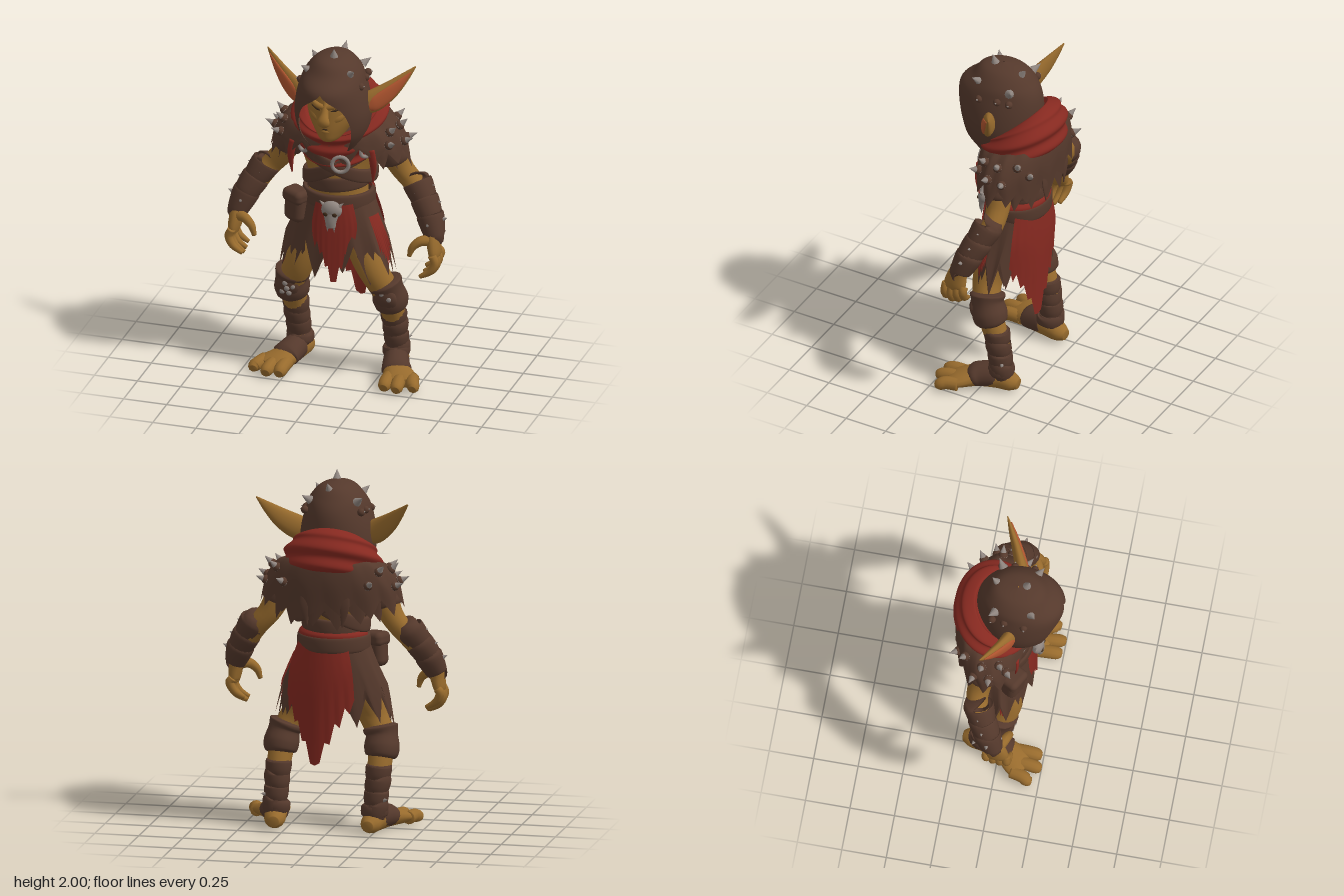
import * as THREE from 'three';
import { mergeVertices } from 'three/addons/utils/BufferGeometryUtils.js';
import { RoundedBoxGeometry } from 'three/addons/geometries/RoundedBoxGeometry.js';

const paint = (name, color, side = THREE.FrontSide) => {
  const m = new THREE.MeshStandardMaterial({ color, side });
  m.name = name;
  return m;
};

export function createModel() {
  const model = new THREE.Group();
  model.name = 'hoodedGoblin';
  const skin = paint('ochre skin', 0x986b2d);
  const leather = paint('brown leather', 0x55392c, THREE.DoubleSide);
  const cloth = paint('red cloth', 0x862920, THREE.DoubleSide);
  const bone = paint('grey bone and metal', 0x8f857f);
  const earInner = paint('orange inner ear', 0xb0552f);
  const dark = paint('dark recess', 0x3d2a1a);

  const add = (name, geo, mat) => {
    const mesh = new THREE.Mesh(geo, mat);
    mesh.name = name;
    model.add(mesh);
    return mesh;
  };
  const clamp = THREE.MathUtils.clamp;

  // Smooth interpolation of rows of numbers, t from 0 to 1
  const spline = (rows, t) => {
    const n = rows.length - 1, k = Math.min(Math.floor(t * n), n - 1), f = t * n - k;
    const at = (i) => rows[clamp(i, 0, n)];
    return rows[0].map((_, c) => {
      const p = at(k - 1)[c], a = at(k)[c], b = at(k + 1)[c], q = at(k + 2)[c];
      return a + 0.5 * f * (b - p + f * (2 * p - 5 * a + 4 * b - q + f * (3 * (a - b) + q - p)));
    });
  };

  // Surface from a grid of points
  const grid = (nu, nv, point) => {
    const pos = [], index = [];
    for (let i = 0; i <= nv; i++) for (let j = 0; j <= nu; j++) pos.push(...point(j / nu, i, i / nv));
    for (let i = 0; i < nv; i++) for (let j = 0; j < nu; j++) {
      const a = i * (nu + 1) + j, b = a + nu + 1;
      index.push(a, b, b + 1, a, b + 1, a + 1);
    }
    let g = new THREE.BufferGeometry();
    g.setAttribute('position', new THREE.Float32BufferAttribute(pos, 3));
    g.setIndex(index);
    g = mergeVertices(g, 1e-5);
    g.computeVertexNormals();
    return g;
  };

  // Capped tube through rows [x, y, z, radiusAlongRef, otherRadius]
  const X = new THREE.Vector3(1, 0, 0), Y = new THREE.Vector3(0, 1, 0), Z = new THREE.Vector3(0, 0, 1);
  const loft = (rows, ref = X, sides = 16) => {
    rows = rows.map((r) => (r.length < 5 ? [...r, r[3]] : r));
    const n = (rows.length - 1) * 5;
    return grid(sides, n + 2, (u, i) => {
      const t = clamp(i - 1, 0, n) / n, s = spline(rows, t), c = new THREE.Vector3(...s);
      const tan = new THREE.Vector3(...spline(rows, Math.min(t + 0.01, 1)))
        .sub(new THREE.Vector3(...spline(rows, Math.max(t - 0.01, 0)))).normalize();
      const a = ref.clone().addScaledVector(tan, -ref.dot(tan)).normalize();
      const b = tan.clone().cross(a), w = -u * Math.PI * 2, r = i === 0 || i === n + 2 ? 0 : 1;
      return c.addScaledVector(a, s[3] * r * Math.cos(w)).addScaledVector(b, s[4] * r * Math.sin(w)).toArray();
    });
  };

  // Draped shell through rings [y, z, radiusX, radiusZ, backTilt, frontGap, sideTilt]
  const shellPoint = (rows, a, t, s = spline(rows, t)) =>
    [s[2] * Math.sin(a), s[0] - s[4] * Math.cos(a) + s[6] * Math.sin(a), s[1] + s[3] * Math.cos(a)];
  const fill = (rows) => rows.map((r) => [...r, 0, 0, 0, 0].slice(0, 7));
  const shell = (rows, { from, to, hem = () => 0, flare = 0.7, fold = 0, nu = 96 } = {}) => {
    rows = fill(rows);
    return grid(nu, (rows.length - 1) * (fold ? 12 : 6), (u, i, t) => {
      const s = spline(rows, t);
      const g = Math.max(0, s[5]), lo = from ?? g, hi = to ?? Math.PI * 2 - g, a = lo + (hi - lo) * u;
      const k = 1 + fold * Math.sin(30 * t + 1.5 * Math.cos(a) + 1.2 * Math.sin(a));
      s[2] *= k; s[3] *= k;
      const p = shellPoint(rows, a, t, s), drop = hem(u) * t * t;
      return [p[0] * (1 + flare * drop), p[1] - drop, p[2]];
    });
  };
  const hash = (i) => { const v = Math.sin(i * 12.99 + 4.1) * 437.58; return v - Math.floor(v); };
  const teeth = (n, amp, seed = 0) => (u) => {
    const k = u * n, i = Math.floor(k);
    return amp * (0.4 + 0.6 * hash((i % n) + seed)) * (1 - Math.abs(2 * (k - i) - 1));
  };
  const point = (amp, rag) => (u) => amp * (1 - Math.abs(2 * u - 1)) ** 1.5 + teeth(8, rag, 3)(u);

  // Cone spike at a position, pointing away from a centre
  const spike = (name, p, centre, r = 0.026, h = 0.06) => {
    const base = new THREE.Vector3(...p), dir = base.clone().sub(new THREE.Vector3(...centre)).normalize();
    const m = add(name, new THREE.ConeGeometry(r, h, 10), bone);
    m.quaternion.setFromUnitVectors(Y, dir);
    m.position.copy(base).addScaledVector(dir, h / 2 - 0.004);
  };
  const ball = (name, p, scale, mat) => {
    const m = add(name, new THREE.SphereGeometry(1, 20, 14), mat);
    m.position.set(...p);
    m.scale.set(...scale);
    return m;
  };

  // Torso, neck and head
  add('torso', shell([[1.58, -0.06, 0.08, 0.08], [1.52, -0.07, 0.2, 0.15], [1.4, -0.07, 0.25, 0.18], [1.28, -0.05, 0.205, 0.165],
    [1.17, -0.03, 0.165, 0.145], [1.05, -0.03, 0.17, 0.14], [0.88, -0.03, 0.18, 0.13], [0.82, -0.03, 0.01, 0.01]]), skin);
  add('neck', loft([[0, 1.4, -0.02, 0.1], [0, 1.6, 0.06, 0.09]]), skin);
  add('head', shell([[1.86, 0.05, 0.005, 0.005], [1.81, 0.06, 0.11, 0.12], [1.7, 0.07, 0.145, 0.14], [1.6, 0.075, 0.135, 0.145],
    [1.52, 0.085, 0.096, 0.135], [1.465, 0.1, 0.055, 0.1], [1.445, 0.11, 0.005, 0.005]]), skin);
  add('nose', loft([[0, 1.71, 0.19, 0.018], [0, 1.65, 0.228, 0.021], [0, 1.605, 0.252, 0.036, 0.024], [0, 1.58, 0.235, 0.026, 0.015]]), skin);
  add('mouth', loft([[-0.04, 1.541, 0.199, 0.004], [0, 1.55, 0.221, 0.005], [0.04, 1.541, 0.199, 0.004]], Y, 8), dark);
  add('lowerLip', loft([[-0.04, 1.528, 0.198, 0.007], [0, 1.534, 0.216, 0.011], [0.04, 1.528, 0.198, 0.007]], Y, 8), skin);

  // Hood with open face
  add('hood', shell([[1.955, 0.06, 0.004, 0.004], [1.93, 0.06, 0.09, 0.12], [1.865, 0.06, 0.152, 0.182], [1.795, 0.078, 0.18, 0.236],
    [1.7, 0.075, 0.203, 0.245, 0, 0.56], [1.6, 0.07, 0.212, 0.235, 0, 0.77], [1.5, 0.06, 0.194, 0.215, 0, 0.84], [1.4, 0.05, 0.145, 0.14, 0, 0.8]]), leather);
  const crown = [0, 1.75, 0.05];
  spike('hoodSpike', [0.015, 1.944, 0.105], crown);
  spike('hoodSpike', [0.02, 1.915, -0.06], crown);

  // Scarf and shoulder mantle
  add('scarf', shell([[1.575, -0.02, 0.16, 0.12, 0.095], [1.605, -0.025, 0.205, 0.165, 0.125], [1.575, -0.055, 0.256, 0.21, 0.115],
    [1.495, -0.07, 0.275, 0.22, 0.105], [1.405, -0.07, 0.24, 0.218, 0.1], [1.36, -0.06, 0.2, 0.19, 0.09]], { fold: 0.042 }), cloth);
  const mantle = fill([[1.55, -0.07, 0.19, 0.15, 0.04], [1.52, -0.07, 0.3, 0.2, 0.04], [1.44, -0.07, 0.368, 0.213, 0.02],
    [1.37, -0.065, 0.383, 0.208, -0.04]]);
  add('mantle', shell(mantle, { hem: teeth(14, 0.12), nu: 112 }), leather);
  add('mantleUnderlayer', shell([[1.48, -0.07, 0.3, 0.19], [1.4, -0.07, 0.345, 0.195, 0], [1.33, -0.065, 0.33, 0.195, -0.05]],
    { hem: teeth(12, 0.12, 5), from: 0.75, to: 5.53, nu: 96 }), leather);

  // Crossed chest straps, midriff wrap, sash and belt
  const band = (name, y, rx, rz, w, side, cz = -0.035) => add(name, shell([[y + w, cz, rx - 0.02, rz - 0.02, 0, 0, side],
    [y + w * 0.8, cz, rx, rz, 0, 0, side], [y - w * 0.8, cz, rx, rz, 0, 0, side], [y - w, cz, rx - 0.02, rz - 0.02, 0, 0, side]]), leather);
  band('chestStrap', 1.265, 0.203, 0.182, 0.042, 0.1);
  band('chestStrap', 1.295, 0.22, 0.186, 0.04, -0.09);
  band('midriffWrap', 1.165, 0.178, 0.162, 0.042, 0.015);
  band('belt', 1.065, 0.203, 0.178, 0.045, 0);
  add('backSash', shell([[1.145, -0.03, 0.172, 0.158], [1.12, -0.03, 0.196, 0.178], [1.09, -0.03, 0.198, 0.176]],
    { from: 1.7, to: 4.6, nu: 40 }), cloth);
  for (const [x, y, z, r] of [[0.07, 1.32, 0.162, 0.046], [-0.165, 1.375, 0.102, 0.028], [0.195, 1.385, 0.095, 0.028]]) {
    const ring = add('ringBuckle', new THREE.TorusGeometry(r, 0.011, 10, 28), bone);
    ring.position.set(x, y, z);
    ring.rotation.y = x * 3;
  }

  // Ragged skirt and red hanging cloths
  const skirt = (d) => [[1.08, -0.03, 0.18 + d, 0.155 + d], [0.95, -0.025, 0.23 + d, 0.162 + d], [0.82, -0.01, 0.288 + d, 0.158 + d]];
  add('skirt', shell(skirt(0.01), { hem: teeth(13, 0.25, 2), nu: 104 }), leather);
  add('skirtUnderlayer', shell([...skirt(-0.006), [0.75, 0, 0.295, 0.14]], { hem: teeth(11, 0.16, 9), from: 0.55, to: 5.75, nu: 88 }), leather);
  add('frontCloth', shell([...skirt(0.018).slice(0, 2), [0.87, -0.02, 0.24, 0.182]],
    { from: -0.42, to: 0.66, hem: point(0.27, 0.07), flare: 0, nu: 64 }), cloth);
  add('backCloth', shell([[1.08, -0.03, 0.205, 0.175], [0.92, -0.03, 0.262, 0.186], [0.76, -0.03, 0.28, 0.172]],
    { from: Math.PI - 1.08, to: Math.PI + 0.56, hem: point(0.38, 0.08), flare: 0, nu: 64 }), cloth);
  add('hipCloth', shell([[0.98, -0.02, 0.236, 0.18], [0.9, -0.015, 0.272, 0.182], [0.82, -0.01, 0.305, 0.18]],
    { from: 1.05, to: 1.5, hem: point(0.1, 0.06), nu: 64 }), cloth);
  add('hipCloth', shell([[0.9, -0.015, 0.235, 0.14], [0.82, -0.01, 0.275, 0.14], [0.72, 0, 0.3, 0.14]],
    { from: -1.5, to: -0.9, hem: point(0.08, 0.05), nu: 64 }), cloth);

  // Belt pouch
  const pouch = add('pouch', new RoundedBoxGeometry(0.13, 0.18, 0.1, 4, 0.04), leather);
  pouch.position.set(-0.215, 0.995, 0.07);
  pouch.rotation.set(0, -0.5, -0.06);
  const flap = add('pouchFlap', new RoundedBoxGeometry(0.14, 0.08, 0.115, 4, 0.03), leather);
  flap.position.set(-0.213, 1.06, 0.072);
  flap.rotation.copy(pouch.rotation);

  // Animal skull on the belt
  ball('skullCranium', [0.02, 1.04, 0.165], [0.06, 0.052, 0.035], bone);
  add('skullSnout', loft([[0.02, 1.03, 0.17, 0.05, 0.028], [0.02, 0.98, 0.18, 0.034, 0.022], [0.02, 0.94, 0.18, 0.028, 0.018]]), bone);
  for (const s of [-1, 1]) {
    ball('skullSocket', [0.02 + s * 0.026, 1.022, 0.195], [0.014, 0.012, 0.007], dark);
    spike('skullFang', [0.02 + s * 0.018, 0.945, 0.18], [0.02 + s * 0.014, 1.02, 0.18], 0.01, 0.04);
    spike('skullHorn', [0.02 + s * 0.045, 1.065, 0.165], [0.02, 1.02, 0.165], 0.014, 0.04);
  }

  for (const s of [-1, 1]) {
    const mirror = (rows) => rows.map(([x, ...r]) => [x * s, ...r]);
    const part = (name, rows, mat, ref, sides) => add(name, loft(mirror(rows), ref, sides), mat);

    // Ear, eye, brow and cheek
    part('ear', [[0.16, 1.655, 0.055, 0.055, 0.04], [0.22, 1.675, 0.035, 0.068, 0.036], [0.3, 1.73, -0.005, 0.056, 0.026],
      [0.37, 1.797, -0.045, 0.032, 0.016], [0.43, 1.862, -0.08, 0.004, 0.003]], skin, Y);
    part('innerEar', [[0.205, 1.652, 0.068, 0.028, 0.013], [0.24, 1.67, 0.054, 0.043, 0.015], [0.3, 1.718, 0.02, 0.041, 0.013],
      [0.36, 1.777, -0.02, 0.025, 0.01], [0.41, 1.835, -0.055, 0.004, 0.003]], earInner, Y);
    part('eye', [[0.03, 1.659, 0.211, 0.003], [0.055, 1.664, 0.203, 0.007, 0.006], [0.09, 1.677, 0.183, 0.003]], dark, Y, 8);
    part('brow', [[0.008, 1.678, 0.214, 0.014], [0.06, 1.693, 0.205, 0.016], [0.115, 1.72, 0.16, 0.008]], skin, Y, 10);
    part('cheek', [[0.03, 1.585, 0.2, 0.012], [0.07, 1.615, 0.182, 0.026, 0.02], [0.115, 1.645, 0.135, 0.015]], skin, Y, 12);

    // Hood spikes and studs
    for (const p of [[0.12, 1.868, 0.15], [0.135, 1.855, -0.05]]) spike('hoodSpike', [p[0] * s, p[1], p[2]], crown);
    for (const p of [[0.174, 1.79, 0.12], [0.168, 1.8, 0.01], [0.16, 1.8, -0.06]]) {
      ball('hoodStud', [p[0] * s, p[1], p[2]], [0.022, 0.022, 0.022], leather);
      spike('hoodStudTip', [(p[0] + 0.012) * s, p[1] + 0.002, p[2]], crown, 0.014, 0.022);
    }

    // Mantle spikes and loose tails
    for (const [a, t] of [[1.0, 0.72], [1.2, 0.45], [1.45, 0.75], [1.65, 0.48], [1.85, 0.8], [2.15, 0.52], [2.45, 0.75]]) {
      const p = shellPoint(mantle, a * s, t);
      ball('spikeSeat', p, [0.026, 0.026, 0.026], leather);
      spike('mantleSpike', p, [p[0] * 0.5, 1.33, -0.07], 0.027, 0.068);
    }
    part('scarfTail', [[0.225, 1.4, 0.095, 0.022, 0.01], [0.24, 1.31, 0.095, 0.02, 0.009], [0.235, 1.2, 0.085, 0.003]], cloth);
    part('backTail', [[0.1, 1.4, -0.255, 0.04, 0.008], [0.11, 1.3, -0.265, 0.03, 0.007], [0.1, 1.19, -0.262, 0.003]], leather);

    // Arm and leather sleeve pieces
    part('arm', [[0.2, 1.47, -0.07, 0.085], [0.28, 1.36, -0.075, 0.082], [0.345, 1.23, -0.095, 0.066], [0.42, 1.14, -0.095, 0.06],
      [0.5, 1.04, -0.04, 0.065], [0.565, 0.92, 0.01, 0.042]], skin);
    part('armBand', [[0.265, 1.37, -0.075, 0.08], [0.28, 1.35, -0.078, 0.094], [0.312, 1.29, -0.085, 0.087], [0.319, 1.275, -0.087, 0.07]], leather);
    const bracer = [[0.435, 1.165, -0.085, 0.085], [0.485, 1.085, -0.055, 0.08], [0.53, 1.005, -0.02, 0.078], [0.57, 0.905, 0.015, 0.066]];
    for (let i = 0; i < 3; i++) {
      const [x, y, z, r] = bracer[i], [x2, y2, z2, r2] = bracer[i + 1];
      part('bracerPlate', [[x, y, z, r * 0.7], [x + 0.004, y - 0.008, z, r], [x2, y2, z2, r2 * 0.93], [x2 + 0.006, y2 - 0.014, z2, r2 * 0.8]], leather);
      spike('bracerSpike', [s * (x + 0.08), y - 0.015, z + 0.01], [s * x, y - 0.05, z], 0.015, 0.035);
      ball('bracerStud', [s * (x + 0.015), y - 0.035, z + r * 0.98], [0.014, 0.014, 0.01], bone);
    }

    // Hand with curled fingers
    part('palm', [[0.565, 0.925, 0.015, 0.042], [0.572, 0.87, 0.035, 0.04, 0.058], [0.582, 0.81, 0.045, 0.034, 0.066], [0.582, 0.78, 0.045, 0.024, 0.055]], skin);
    for (let i = 0; i < 4; i++) {
      const z = 0.1 - i * 0.038, d = i === 3 ? 0.03 : Math.abs(i - 1) * 0.01;
      part('finger', [[0.582, 0.81, z, 0.023], [0.598, 0.755 + d, z, 0.024], [0.572, 0.705 + d, z + 0.006, 0.021], [0.515, 0.67 + d, z + 0.012, 0.012]], skin, Z, 10);
    }
    part('thumb', [[0.555, 0.88, 0.055, 0.032], [0.51, 0.88, 0.08, 0.028], [0.468, 0.845, 0.095, 0.022], [0.45, 0.79, 0.1, 0.012]], skin, Z, 10);

    // Leg, leaning slightly to the model's left near the ground
    const limb = (name, rows, mat, ref, sides) =>
      add(name, loft(rows.map(([x, y, ...r]) => [x * s + 0.04 * Math.max(0, 1 - y / 0.8), y, ...r]), ref, sides), mat);
    limb('leg', [[0.1, 0.95, -0.03, 0.1], [0.165, 0.76, 0.015, 0.098], [0.22, 0.63, 0.035, 0.084], [0.275, 0.5, 0, 0.075],
      [0.285, 0.3, -0.075, 0.064], [0.275, 0.08, -0.1, 0.052]], skin);
    limb('kneeWrap', [[0.262, 0.585, 0.01, 0.07], [0.266, 0.57, 0.008, 0.1], [0.278, 0.53, 0, 0.09], [0.285, 0.47, -0.018, 0.1],
      [0.287, 0.425, -0.035, 0.092], [0.287, 0.41, -0.04, 0.07]], leather);
    limb('kneePlate', [[0.272, 0.55, 0.062, 0.05, 0.03], [0.285, 0.49, 0.062, 0.066, 0.03], [0.287, 0.435, 0.04, 0.05, 0.028]], leather);
    for (let i = 0; i < 4; i++) {
      const y = 0.365 - i * 0.07, z = -0.066 - i * 0.012, r = 0.074 - i * 0.002;
      limb('shinWrap', [[0.285, y + 0.014, z, r * 0.85], [0.285 + 0.004 * (i % 2), y, z, r], [0.283, y - 0.04, z - 0.006, r * 0.98], [0.282, y - 0.075, z - 0.008, r * 0.85]], leather);
    }
    for (const [x, y, z] of s < 0 ? [[0.25, 0.5, 0.082], [0.29, 0.52, 0.09], [0.27, 0.46, 0.082], [0.31, 0.465, 0.08], [0.28, 0.49, 0.09]] : [[0.27, 0.53, 0.088], [0.31, 0.5, 0.085]])
      ball('kneeStud', [x * s + 0.015, y, z], [0.016, 0.016, 0.01], bone);
    spike('ankleSpike', [s * 0.335 + 0.03, 0.19, -0.13], [s * 0.28 + 0.03, 0.18, -0.1], 0.015, 0.035);

    // Foot, toes and instep wrap
    limb('foot', [[0.268, 0.05, -0.205, 0.03], [0.272, 0.055, -0.16, 0.056, 0.052], [0.285, 0.068, -0.08, 0.062, 0.066],
      [0.315, 0.06, 0.03, 0.072, 0.058], [0.365, 0.046, 0.12, 0.096, 0.042], [0.382, 0.036, 0.165, 0.09, 0.028]], skin);
    limb('instepWrap', [[0.284, 0.085, -0.07, 0.055, 0.06], [0.288, 0.084, -0.06, 0.07, 0.074], [0.308, 0.073, 0.01, 0.078, 0.07],
      [0.322, 0.064, 0.045, 0.083, 0.062], [0.325, 0.06, 0.053, 0.065, 0.045]], leather);
    limb('ankleWrap', [[0.278, 0.155, -0.1, 0.06], [0.278, 0.14, -0.1, 0.076], [0.28, 0.105, -0.09, 0.076], [0.28, 0.095, -0.09, 0.06]], leather);
    for (const [x, x2, z, r] of [[0.3, 0.304, 0.215, 0.039], [0.365, 0.378, 0.225, 0.038], [0.43, 0.462, 0.185, 0.037]])
      limb('toe', [[x, 0.044, 0.09, r], [(x + x2) / 2, 0.046, (z + 0.09) / 2 + 0.015, r], [x2, 0.037, z, r * 0.93], [x2, 0.03, z + 0.022, r * 0.6]], skin, X, 12);
  }
  return model;
}
